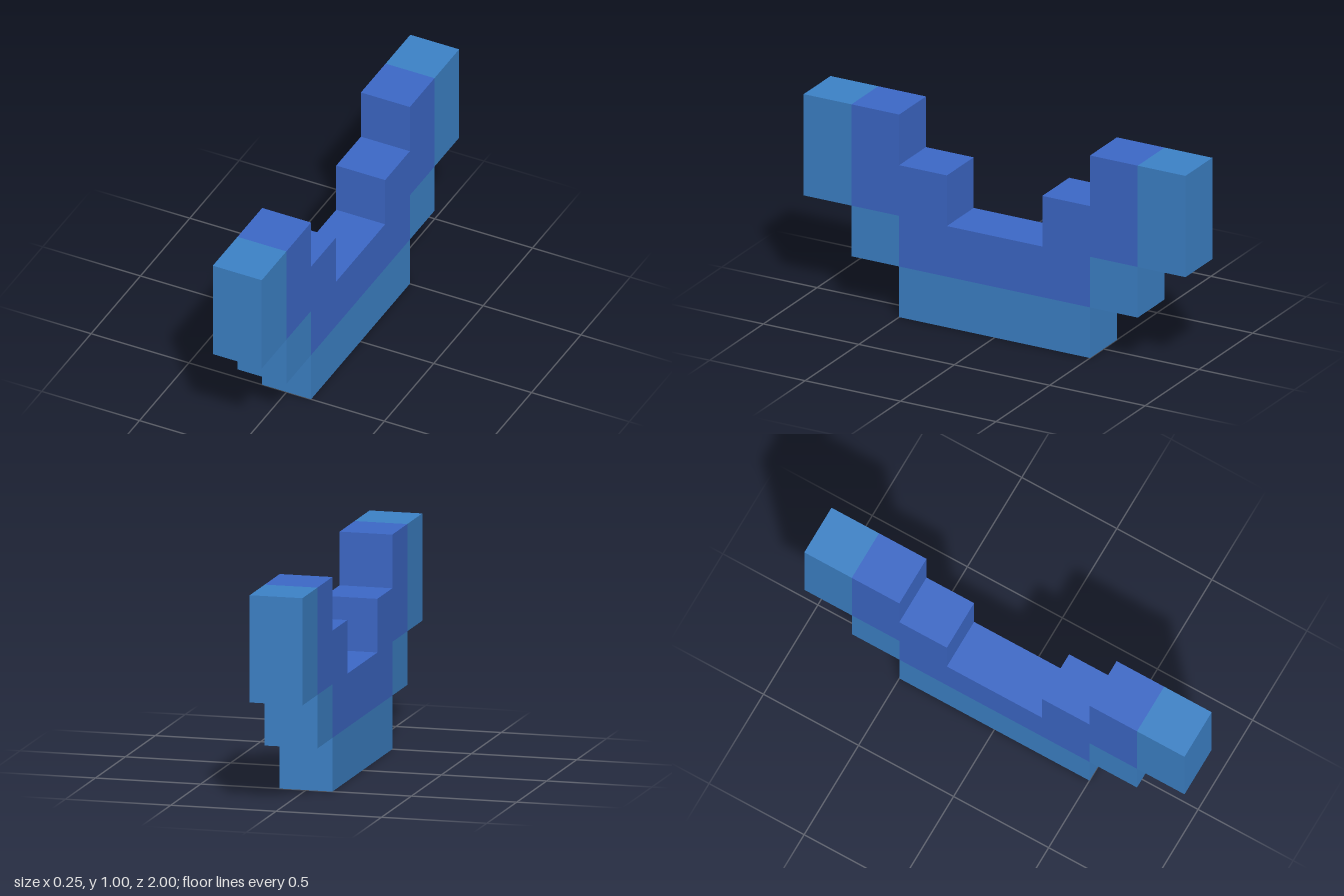
import * as THREE from 'three';

const WIDTH = 0.25;

export function createModel() {
  const model = new THREE.Group();
  model.name = 'steppedCradle';
  const lightBlue = new THREE.MeshStandardMaterial({ color: 0x3d83c9 });
  const deepBlue = new THREE.MeshStandardMaterial({ color: 0x3d69c9 });

  // Inner stepped band: half outline as [z, y], mirrored front to back
  const half = [[0.5, 0.25], [0.5, 0.5], [0.75, 0.5], [0.75, 1], [0.5, 1], [0.5, 0.75], [0.25, 0.75], [0.25, 0.5]];
  const outline = [...half, ...half.map(([z, y]) => [-z, y]).reverse()];
  const shape = new THREE.Shape(outline.map(([z, y]) => new THREE.Vector2(z, y)));
  const bandGeometry = new THREE.ExtrudeGeometry(shape, { depth: WIDTH, bevelEnabled: false });
  bandGeometry.translate(0, 0, -WIDTH / 2).rotateY(-Math.PI / 2);
  const band = new THREE.Mesh(bandGeometry, deepBlue);
  band.name = 'innerBand';
  model.add(band);

  // Outer blocks of the lighter layer
  const addBlock = (name, height, depth, y, z) => {
    const block = new THREE.Mesh(new THREE.BoxGeometry(WIDTH, height, depth), lightBlue);
    block.name = name;
    block.position.set(0, y, z);
    model.add(block);
  };
  addBlock('base', 0.25, 1, 0.125, 0);
  for (const [end, s] of [['front', 1], ['back', -1]]) {
    addBlock(end + 'Step', 0.25, 0.25, 0.375, s * 0.625);
    addBlock(end + 'Tip', 0.5, 0.25, 0.75, s * 0.875);
  }

  return model;
}
